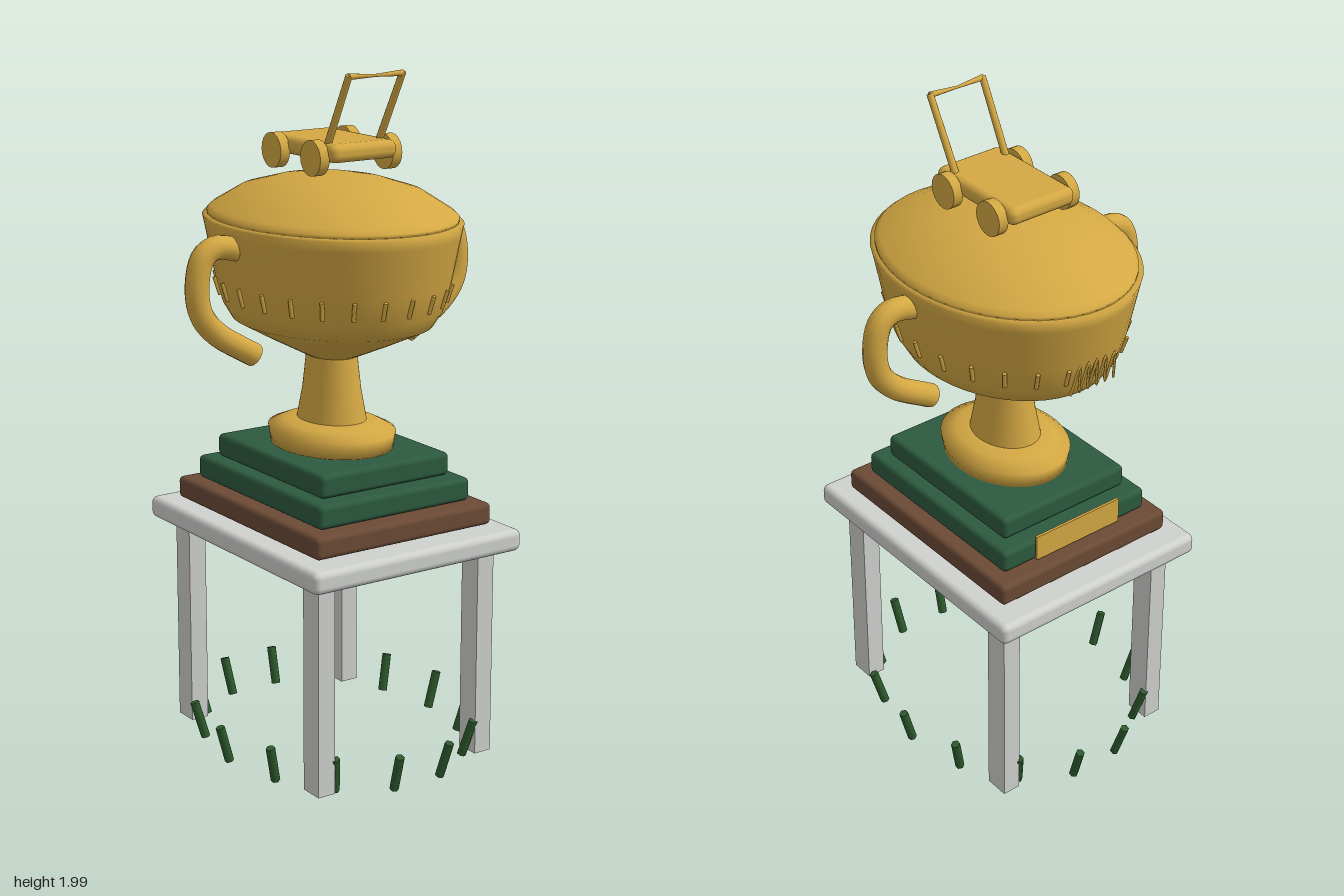
import * as THREE from 'three';
import { RoundedBoxGeometry } from 'three/addons/geometries/RoundedBoxGeometry.js';

const mat = (name, color) => {
  const m = new THREE.MeshStandardMaterial({ color });
  m.name = name;
  return m;
};

export function createModel() {
  const root = new THREE.Group();
  root.name = 'trophyOnTable';
  const gold = mat('gold', 0xd4a843);
  const green = mat('plinthGreen', 0x2d5a3f);
  const brown = mat('woodBrown', 0x6b4a35);
  const white = mat('tableWhite', 0xcfd1ce);
  const grass = mat('grassGreen', 0x2d5a2d);
  const STRETCH = 1.25; // the cup is longer in z than in x

  const add = (name, geo, material, x = 0, y = 0, z = 0, parent = root) => {
    const m = new THREE.Mesh(geo, material);
    m.name = name;
    m.position.set(x, y, z);
    parent.add(m);
    return m;
  };
  // rounded slab given by half widths and a height range
  const slab = (name, hx, hz, y0, y1, r, material) =>
    add(name, new RoundedBoxGeometry(hx * 2, y1 - y0, hz * 2, 3, r), material, 0, (y0 + y1) / 2, 0);
  // round rod between two points
  const rod = (name, a, b, ra, rb, material, sides = 10) => {
    const p = new THREE.Vector3(...a), q = new THREE.Vector3(...b);
    const d = q.clone().sub(p);
    const m = add(name, new THREE.CylinderGeometry(rb, ra, d.length(), sides), material);
    m.position.copy(p).addScaledVector(d, 0.5);
    m.quaternion.setFromUnitVectors(new THREE.Vector3(0, 1, 0), d.normalize());
    return m;
  };
  const lathe = (name, pts) => {
    const g = new THREE.LatheGeometry(pts.map(([r, y]) => new THREE.Vector2(r, y)), 48);
    add(name, g, gold).scale.z = STRETCH;
  };

  // table
  slab('tableTop', 0.355, 0.443, 0.64, 0.705, 0.02, white);
  for (const sx of [-1, 1]) for (const sz of [-1, 1])
    add('tableLeg', new THREE.BoxGeometry(0.056, 0.63, 0.074), white, sx * 0.275, 0.335, sz * 0.341);

  // stepped plinth and plaque on its back
  slab('woodBase', 0.3, 0.37, 0.71, 0.775, 0.015, brown);
  slab('lowerPlinth', 0.258, 0.322, 0.777, 0.845, 0.015, green);
  slab('upperPlinth', 0.22, 0.274, 0.847, 0.915, 0.015, green);
  add('plaque', new THREE.BoxGeometry(0.3, 0.078, 0.008), gold, 0, 0.823, -0.329);

  // cup
  lathe('foot', [[0, 0.917], [0.163, 0.917], [0.17, 0.965], [0.13, 0.985], [0.088, 0.995], [0, 0.995]]);
  lathe('stem', [[0.094, 0.985], [0.078, 1.08], [0.066, 1.2]]);
  lathe('bowl', [[0, 1.175], [0.07, 1.18], [0.175, 1.235], [0.265, 1.285], [0.29, 1.33], [0.31, 1.41],
    [0.334, 1.545], [0.34, 1.575], [0.325, 1.58], [0, 1.58]]);
  lathe('lid', [[0, 1.58], [0.328, 1.58], [0.328, 1.59], [0.315, 1.603], [0.24, 1.653], [0.15, 1.682], [0.075, 1.696], [0, 1.698]]);

  // beads around the bowl
  for (let i = 0; i < 24; i++) {
    const a = i * Math.PI / 12, s = Math.sin(a), c = Math.cos(a);
    rod('bowlBead', [0.297 * s, 1.35, 0.297 * STRETCH * c], [0.312 * s, 1.402, 0.312 * STRETCH * c], 0.006, 0.006, gold, 6);
  }

  // wavy ornament on the back of the bowl
  const wave = [];
  for (let i = 0; i <= 10; i++)
    wave.push(new THREE.Vector3(-0.075 + i * 0.015, i % 2 ? 1.42 : 1.325, i % 2 ? -0.396 : -0.376));
  add('backOrnament', new THREE.TubeGeometry(new THREE.CatmullRomCurve3(wave), 80, 0.004, 5), gold);

  // side handles
  const path = [[0.31, 1.515], [0.385, 1.527], [0.425, 1.503], [0.445, 1.42], [0.432, 1.345], [0.385, 1.287], [0.262, 1.21]];
  for (const s of [-1, 1]) {
    const curve = new THREE.CatmullRomCurve3(path.map(([x, y]) => new THREE.Vector3(s * x, y, 0)));
    add('cupHandle', new THREE.TubeGeometry(curve, 32, 0.034, 14), gold);
    for (const t of [0, 1]) { // closed tube ends
      const cap = add('handleEnd', new THREE.CircleGeometry(0.034, 14), gold);
      cap.position.copy(curve.getPoint(t));
      const dir = curve.getTangent(t).multiplyScalar(t ? 1 : -1);
      cap.quaternion.setFromUnitVectors(new THREE.Vector3(0, 0, 1), dir);
    }
  }

  // small mower above the lid
  slab('mowerBody', 0.11, 0.168, 1.752, 1.804, 0.022, gold);
  for (const s of [-1, 1]) {
    for (const z of [-0.099, 0.097]) {
      const w = add('mowerWheel', new THREE.CylinderGeometry(0.05, 0.05, 0.03, 20), gold, s * 0.122, 1.763, z);
      w.rotation.z = Math.PI / 2;
    }
    rod('mowerHandleBar', [s * 0.086, 1.785, 0.1], [s * 0.089, 1.995, 0.212], 0.011, 0.01, gold);
    rod('mowerGrip', [s * 0.09, 1.992, 0.211], [0, 1.99, 0.208], 0.009, 0.004, gold);
  }

  // ring of grass blades, leaning outward
  for (let i = 0; i < 14; i++) {
    const a = i * Math.PI / 7, c = Math.cos(a), s = Math.sin(a);
    rod('grassBlade', [0.36 * c, 0.012, 0.44 * s], [0.39 * c, 0.122, 0.477 * s], 0.0135, 0.0135, grass, 6);
  }
  return root;
}
